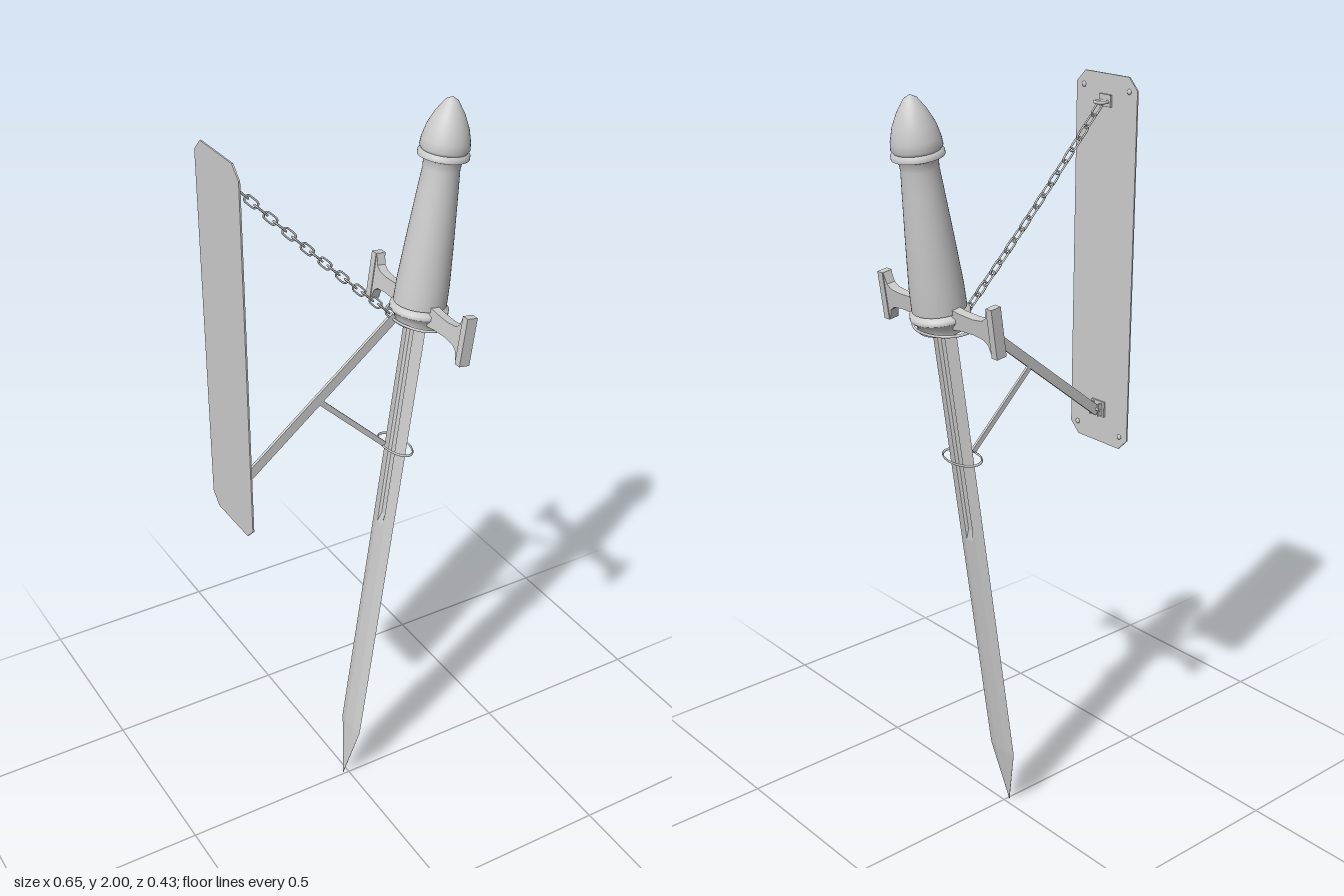
import * as THREE from 'three';

const mat = new THREE.MeshStandardMaterial({ color: 0xcccccc });
const flatMat = new THREE.MeshStandardMaterial({ color: 0xcccccc, flatShading: true });
const V = (x, y, z) => new THREE.Vector3(x, y, z);
const MID = -0.011; // z of the wall bracket's centre plane

function add(parent, name, geo, m = flatMat) {
  const mesh = new THREE.Mesh(geo, m);
  mesh.name = name;
  parent.add(mesh);
  return mesh;
}

// Lathe with hard edges between the given smooth profiles
function turned(parent, name, profiles) {
  const g = new THREE.Group();
  g.name = name;
  for (const p of profiles)
    add(g, name + 'Surface', new THREE.LatheGeometry(p.map(([r, y]) => new THREE.Vector2(r, y)), 40), mat);
  parent.add(g);
}

// Outline in the (z, y) plane extruded along x, centred on x = 0
function slab(points, depth) {
  const shape = new THREE.Shape(points.map(([a, b]) => new THREE.Vector2(a, b)));
  return new THREE.ExtrudeGeometry(shape, { depth, bevelEnabled: false })
    .translate(0, 0, -depth / 2).rotateY(Math.PI / 2);
}

// Flat bar between two points in the xy plane
function bar(parent, name, a, b, height, depth) {
  const mesh = add(parent, name, new THREE.BoxGeometry(a.distanceTo(b), height, depth));
  mesh.position.copy(a).lerp(b, 0.5);
  mesh.rotation.z = Math.atan2(b.y - a.y, b.x - a.x);
}

// Blade lofted through cross-sections: width, thickness and fuller depth per level
function bladeGeometry() {
  const levels = [[0, 0.0005, 0.001, 0], [0.18, 0.048, 0.007, 0], [0.86, 0.048, 0.0095, 0],
    [0.89, 0.048, 0.0095, 0.005], [1.49, 0.048, 0.0125, 0.006]];
  const pos = [], idx = [];
  for (const [y, w, t, d] of levels) {
    const half = [[w, 0], [w * 0.42, t], [w * 0.3, t], [w * 0.16, t - d],
      [-w * 0.16, t - d], [-w * 0.3, t], [-w * 0.42, t]];
    for (const s of [1, -1]) for (const [z, x] of half) pos.push(x * s, y, z * s);
  }
  const n = 14;
  for (let l = 0; l < levels.length - 1; l++)
    for (let i = 0; i < n; i++) {
      const a = l * n + i, b = l * n + (i + 1) % n;
      idx.push(a, b, b + n, a, b + n, a + n);
    }
  const g = new THREE.BufferGeometry();
  g.setAttribute('position', new THREE.Float32BufferAttribute(pos, 3));
  g.setIndex(idx);
  g.computeVertexNormals();
  return g;
}

function guardOutline() {
  const quarter = [[0.05, 0.028], [0.09, 0.022], [0.14, 0.02], [0.172, 0.024], [0.187, 0.034],
    [0.196, 0.062], [0.216, 0.062]];
  const flip = (p, sx, sy) => p.map(([a, b]) => [a * sx, b * sy]);
  return [...flip(quarter, 1, 1), ...flip(quarter, 1, -1).reverse(),
    ...flip(quarter, -1, -1), ...flip(quarter, -1, 1).reverse()];
}

function createSword() {
  const sword = new THREE.Group();
  sword.name = 'sword';
  const blade = add(sword, 'blade', bladeGeometry(), new THREE.MeshStandardMaterial({
    color: 0xcccccc, flatShading: true, side: THREE.DoubleSide }));
  blade.position.z = -0.006;

  turned(sword, 'grip', [
    [[0, 1.505], [0.067, 1.505]],
    [[0.067, 1.505], [0.066, 1.56], [0.058, 1.68], [0.049, 1.8], [0.045, 1.85], [0.047, 1.868], [0.052, 1.88]],
  ]);
  turned(sword, 'pommel', [
    [[0.045, 1.872], [0.063, 1.878]],
    [[0.063, 1.878], [0.063, 1.888], [0.056, 1.893]],
    [[0.056, 1.893], [0.061, 1.9], [0.059, 1.92], [0.051, 1.95], [0.036, 1.982], [0.016, 2.012], [0, 2.021]],
  ]);
  turned(sword, 'guardHub', [
    [[0, 1.452], [0.058, 1.452]],
    [[0.058, 1.452], [0.06, 1.47], [0.074, 1.485]],
    [[0.074, 1.485], [0.074, 1.496], [0.06, 1.5], [0.055, 1.507]],
  ]);

  // Crossguard with flared ends, the end caps a little thicker than the arms
  const guard = add(sword, 'crossguard', slab(guardOutline(), 0.024));
  guard.position.y = 1.492;
  for (const s of [-1, 1]) {
    const cap = add(sword, 'guardEnd', new THREE.BoxGeometry(0.029, 0.125, 0.02));
    cap.position.set(0, 1.492, s * 0.207);
  }

  // Oval support rings around the blade
  for (const [y, rx, rz] of [[1.462, 0.064, 0.09], [1.1, 0.036, 0.064]]) {
    const ring = add(sword, 'supportRing', new THREE.TorusGeometry(1, 0.045, 8, 48).rotateX(Math.PI / 2), mat);
    ring.scale.set(rx, 0.08, rz);
    ring.position.set(-0.002, y, -0.006);
  }
  sword.position.x = -0.015;
  sword.rotation.z = -Math.atan(0.1465);
  return sword;
}

function linkGeometry() {
  const pts = [];
  for (const s of [1, -1])
    for (let i = 0; i <= 6; i++) {
      const a = -Math.PI / 2 + (i / 6) * Math.PI;
      pts.push(V(s * (0.0125 + 0.0085 * Math.cos(a)), s * 0.0085 * Math.sin(a), 0));
    }
  return new THREE.TubeGeometry(new THREE.CatmullRomCurve3(pts, true), 36, 0.0026, 6, true);
}

function createChain(a, b, count) {
  const chain = new THREE.Group();
  chain.name = 'chain';
  const geo = linkGeometry();
  for (let i = 0; i < count; i++) {
    const link = add(chain, 'chainLink', geo, mat);
    const t = (i + 0.5) / count;
    link.position.copy(a).lerp(b, t);
    link.position.y -= 0.04 * t * (1 - t);
    link.rotation.order = 'ZYX';
    link.rotation.set(i % 2 ? Math.PI / 2 : 0, 0, Math.atan2(b.y - a.y, b.x - a.x));
  }
  return chain;
}

function createWallBracket() {
  const g = new THREE.Group();
  g.name = 'wallBracket';
  // Back plate with clipped corners
  const w = 0.107, c = 0.03, y0 = 1.012, y1 = 1.985;
  const plate = add(g, 'wallPlate', slab([[-w + c, y0], [w - c, y0], [w, y0 + c], [w, y1 - c],
    [w - c, y1], [-w + c, y1], [-w, y1 - c], [-w, y0 + c]], 0.004));
  plate.position.set(-0.327, 0, MID);
  for (const y of [y0 + 0.035, y1 - 0.035])
    for (const s of [-1, 1]) {
      const screw = add(g, 'screw', new THREE.SphereGeometry(0.007, 12, 8), mat);
      screw.scale.x = 0.6;
      screw.position.set(-0.324, y, MID + s * 0.08);
    }

  // Clevis holding the strut
  const base = add(g, 'clevisBase', new THREE.BoxGeometry(0.005, 0.042, 0.048));
  base.position.set(-0.3225, 1.108, MID);
  for (const s of [-1, 1]) {
    const cheek = add(g, 'clevisCheek', new THREE.BoxGeometry(0.018, 0.034, 0.005));
    cheek.position.set(-0.315, 1.108, MID + s * 0.015);
  }
  const pin = add(g, 'clevisPin', new THREE.CylinderGeometry(0.004, 0.004, 0.04, 12).rotateX(Math.PI / 2), mat);
  pin.position.set(-0.312, 1.108, MID);

  // Strut and brace
  bar(g, 'strut', V(-0.318, 1.1, MID), V(0.138, 1.462, MID), 0.026, 0.008);
  bar(g, 'brace', V(-0.082, 1.285, MID), V(0.112, 1.097, MID), 0.014, 0.007);

  // Eye for the chain
  const eyeBase = add(g, 'eyeBase', new THREE.BoxGeometry(0.006, 0.03, 0.04));
  eyeBase.position.set(-0.322, 1.92, MID);
  const eye = add(g, 'eye', new THREE.TorusGeometry(0.016, 0.004, 8, 24).rotateX(Math.PI / 2), mat);
  eye.position.set(-0.307, 1.918, MID);

  g.add(createChain(V(-0.305, 1.915, MID), V(0.14, 1.458, MID), 19));
  return g;
}

export function createModel() {
  const model = new THREE.Group();
  model.name = 'hangingSword';
  model.add(createSword(), createWallBracket());
  return model;
}
